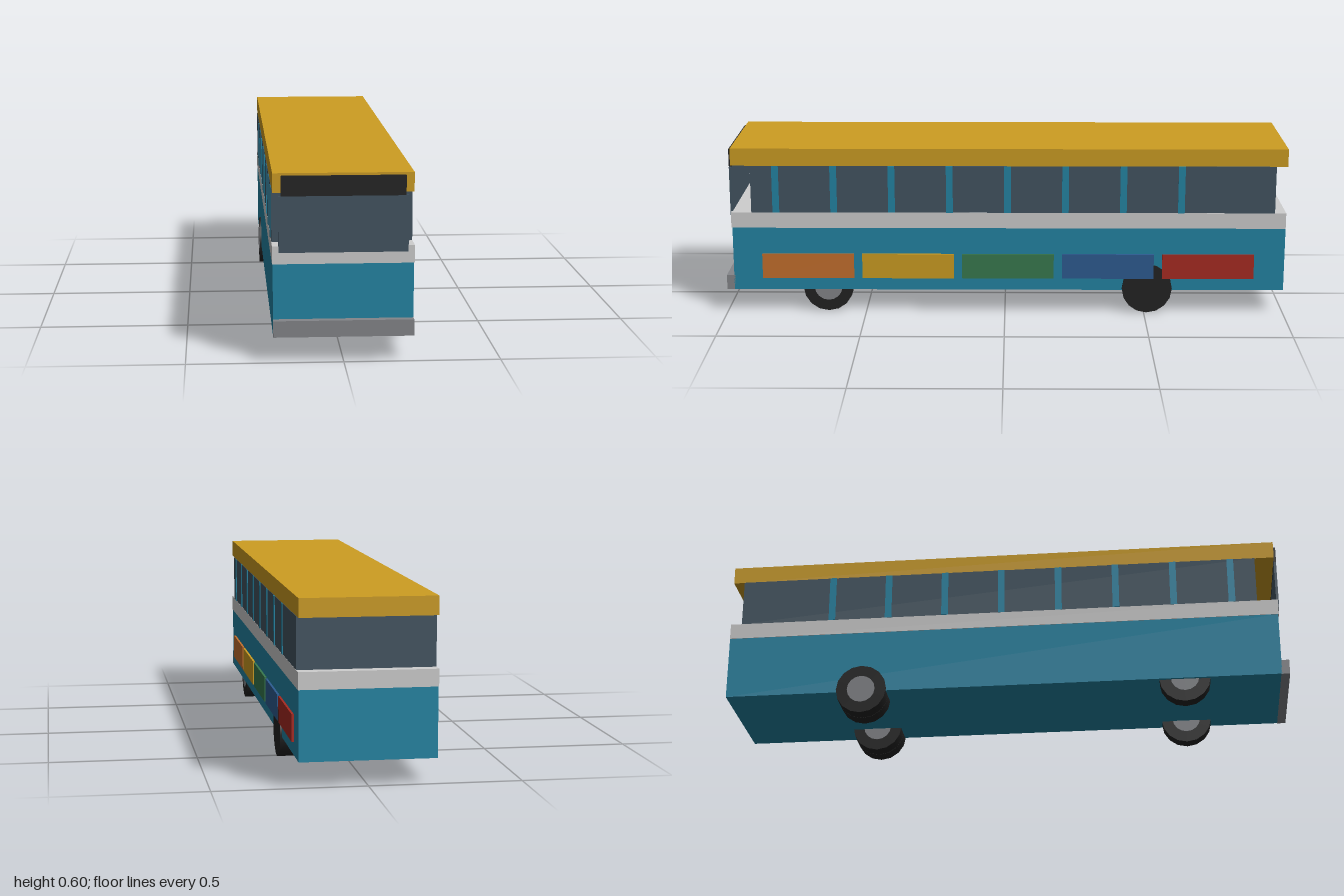
import * as THREE from 'three';

const paint = (name, color) => {
  const m = new THREE.MeshStandardMaterial({ color });
  m.name = name;
  return m;
};

export function createModel() {
  const bus = new THREE.Group();
  bus.name = 'bus';

  const teal = paint('teal', 0x2385a4);
  const yellow = paint('yellow', 0xcd9d22);
  const lightGrey = paint('lightGrey', 0xcecece);
  const glass = paint('glass', 0x425461);
  const black = paint('black', 0x222222);
  const grey = paint('grey', 0x84868a);
  const orange = paint('orange', 0xc5702d);
  const green = paint('green', 0x387a4e);
  const blue = paint('blue', 0x2d5c92);
  const red = paint('red', 0xa82a21);

  // Box given by its extents on each axis
  const box = (name, mat, [x0, x1], [y0, y1], [z0, z1]) => {
    const mesh = new THREE.Mesh(new THREE.BoxGeometry(x1 - x0, y1 - y0, z1 - z0), mat);
    mesh.position.set((x0 + x1) / 2, (y0 + y1) / 2, (z0 + z1) / 2);
    mesh.name = name;
    bus.add(mesh);
  };

  // Main shell
  box('lowerBody', teal, [-0.223, 0.223], [0.083, 0.313], [-1, 0.973]);
  box('beltBand', lightGrey, [-0.225, 0.225], [0.313, 0.37], [-1, 0.976]);
  box('windowBand', glass, [-0.2245, 0.2245], [0.37, 0.54], [-0.96, 0.903]);
  box('roof', yellow, [-0.223, 0.223], [0.54, 0.602], [-1, 0.972]);

  // Front end
  box('windshield', glass, [-0.205, 0.205], [0.35, 0.53], [0.971, 0.98]);
  box('destinationSign', black, [-0.197, 0.197], [0.53, 0.594], [0.971, 0.981]);
  box('bumper', grey, [-0.223, 0.223], [0.082, 0.135], [0.97, 1]);

  // Window pillars on both sides
  for (let i = 0; i < 8; i++) {
    const z = 0.815 - i * 0.206;
    for (const s of [-1, 1]) {
      const xs = s > 0 ? [0.22, 0.227] : [-0.227, -0.22];
      box('windowPillar', teal, xs, [0.37, 0.54], [z - 0.012, z + 0.012]);
    }
  }

  // Coloured panels along the left side
  [orange, yellow, green, blue, red].forEach((mat, i) => {
    const z = 0.705 - i * 0.358;
    box('sidePanel', mat, [0.222, 0.2305], [0.127, 0.217], [z - 0.164, z + 0.164]);
  });

  // Wheels: cylinders lying along x
  const disc = (name, mat, r, [x0, x1], z) => {
    const geo = new THREE.CylinderGeometry(r, r, x1 - x0, 16).rotateZ(Math.PI / 2);
    const mesh = new THREE.Mesh(geo, mat);
    mesh.position.set((x0 + x1) / 2, 0.09, z);
    mesh.name = name;
    bus.add(mesh);
  };
  for (const s of [-1, 1]) {
    // Single front tyre, hub showing on both faces
    const f = s * 0.188;
    disc('frontTyre', black, 0.09, [f - 0.024, f + 0.024], 0.636);
    disc('frontHub', grey, 0.05, [f - 0.026, f + 0.026], 0.636);
    // Twin rear tyres, hub showing on one face
    const r = s * 0.1765;
    disc('rearTyre', black, 0.09, [r - 0.0525, r - 0.001], -0.51);
    disc('rearTyre', black, 0.09, [r + 0.001, r + 0.0525], -0.51);
    disc('rearHub', grey, 0.05, [r - 0.0545, r + 0.04], -0.51);
  }

  return bus;
}
